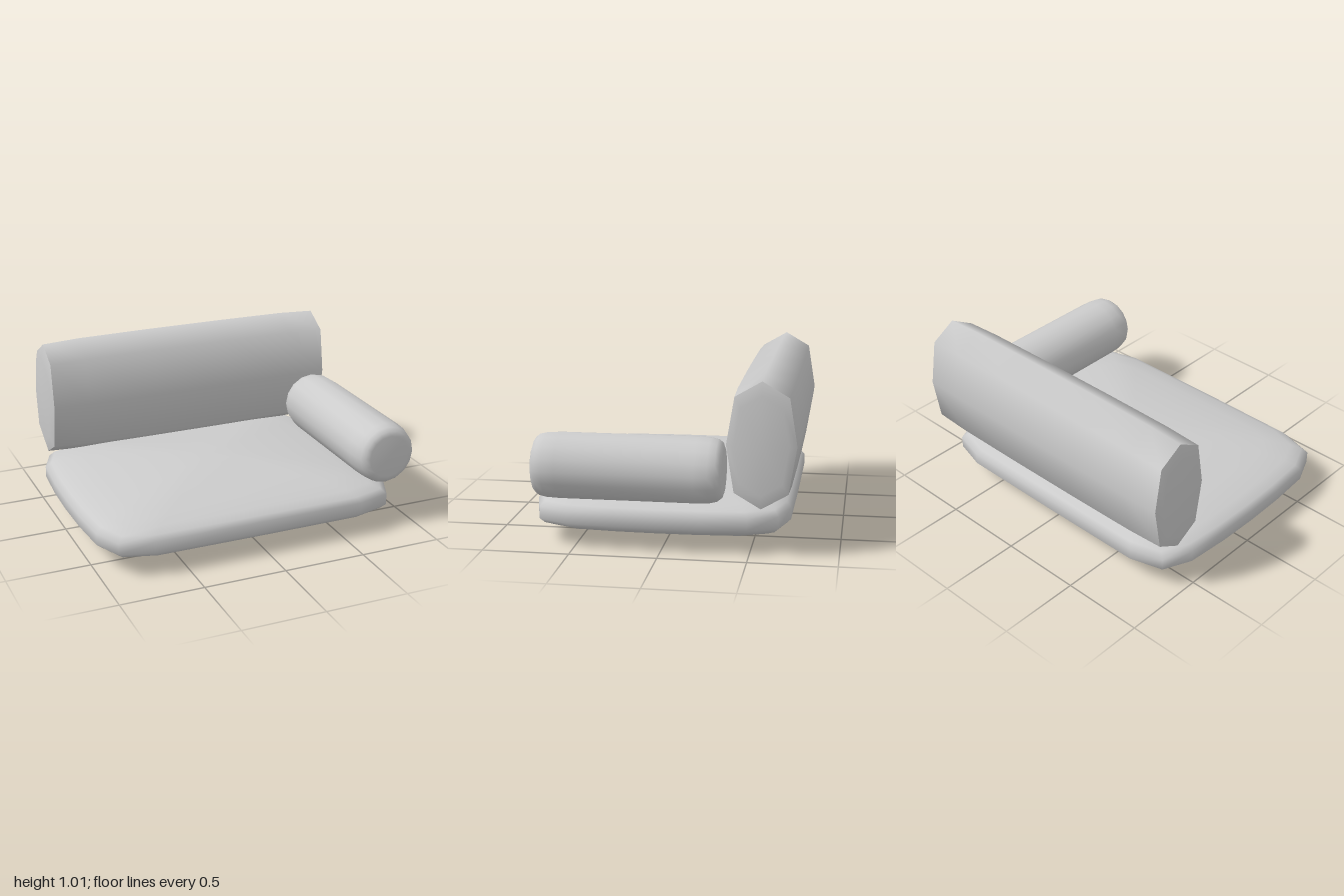
import * as THREE from 'three';

const material = new THREE.MeshStandardMaterial({ color: 0xcccccc });

// Full closed outline from one quarter, running from the u axis to the v axis.
function mirrorQuarter(q) {
  const half = [...q, ...q.slice(0, -1).reverse().map(([u, v]) => [-u, v])];
  return [...half, ...half.slice(1, -1).reverse().map(([u, v]) => [u, -v])];
}

// Layers are [scale, offset] pairs; mirror them to the positive end of the axis.
function mirrorLayers(layers) {
  return [...layers, ...layers.slice().reverse().map(([s, w]) => [s, -w])];
}

// Scaled copies of an outline stacked along an axis; scale 0 closes an end,
// and a repeated layer makes a sharp rim.
function cushion(name, outline, layers, axis, center) {
  const positions = [], index = [], rings = [];
  const place = { x: (u, v, w) => [w, u, v], y: (u, v, w) => [v, w, u], z: (u, v, w) => [u, v, w] }[axis];
  for (const [s, w] of layers) {
    const points = s === 0 ? [[0, 0]] : outline;
    rings.push({ start: positions.length / 3, count: points.length, s, w });
    for (const [u, v] of points) positions.push(...place(u * s, v * s, w));
  }
  for (let i = 0; i < rings.length - 1; i++) {
    const r0 = rings[i], r1 = rings[i + 1];
    if (r0.s === r1.s && r0.w === r1.w) continue;
    for (let j = 0; j < outline.length; j++) {
      const at = (r, k) => r.start + (k % outline.length) % r.count;
      const a = at(r0, j), b = at(r0, j + 1), c = at(r1, j + 1), d = at(r1, j);
      if (a !== b) index.push(a, b, c);
      if (c !== d) index.push(a, c, d);
    }
  }
  const geometry = new THREE.BufferGeometry();
  geometry.setAttribute('position', new THREE.Float32BufferAttribute(positions, 3));
  geometry.setIndex(index);
  geometry.computeVertexNormals();
  const mesh = new THREE.Mesh(geometry, material);
  mesh.name = name;
  mesh.position.set(...center);
  return mesh;
}

export function createModel() {
  const group = new THREE.Group();
  group.name = 'cushionSeat';

  // Seat: domed pillow with clipped corners
  const seatOutline = mirrorQuarter([
    [0.745, 0], [0.742, 0.655], [0.685, 0.855], [0.515, 0.93], [0.25, 0.95], [0, 0.955],
  ]);
  const seatLayers = mirrorLayers([
    [0, -0.178], [0.25, -0.17], [0.5, -0.152], [0.75, -0.122],
    [0.9, -0.092], [0.965, -0.065], [1, -0.035],
  ]);
  group.add(cushion('seatCushion', seatOutline, seatLayers, 'y', [-0.045, 0.178, 0.027]));

  // Backrest: eight-sided bolster with sharp rims and slightly bulging ends
  const backOutline = mirrorQuarter([[0.372, 0], [0.28, 0.157], [0, 0.203]]);
  const backLayers = mirrorLayers([
    [0, -0.952], [0.75, -0.945], [0.96, -0.925], [0.96, -0.925], [0.99, -0.7], [1, -0.25],
  ]);
  group.add(cushion('backCushion', backOutline, backLayers, 'x', [-0.005, 0.64, -0.567]));

  // Armrest: round bolster with softened ends
  const armOutline = Array.from({ length: 16 }, (_, i) => {
    const a = (i / 16) * Math.PI * 2;
    return [0.19 * Math.cos(a), 0.19 * Math.sin(a)];
  });
  const armLayers = mirrorLayers([
    [0, -0.543], [0.68, -0.541], [0.83, -0.531], [0.93, -0.507], [0.98, -0.465], [1, -0.39],
  ]);
  group.add(cushion('armCushion', armOutline, armLayers, 'z', [0.805, 0.465, 0.19]));

  return group;
}
